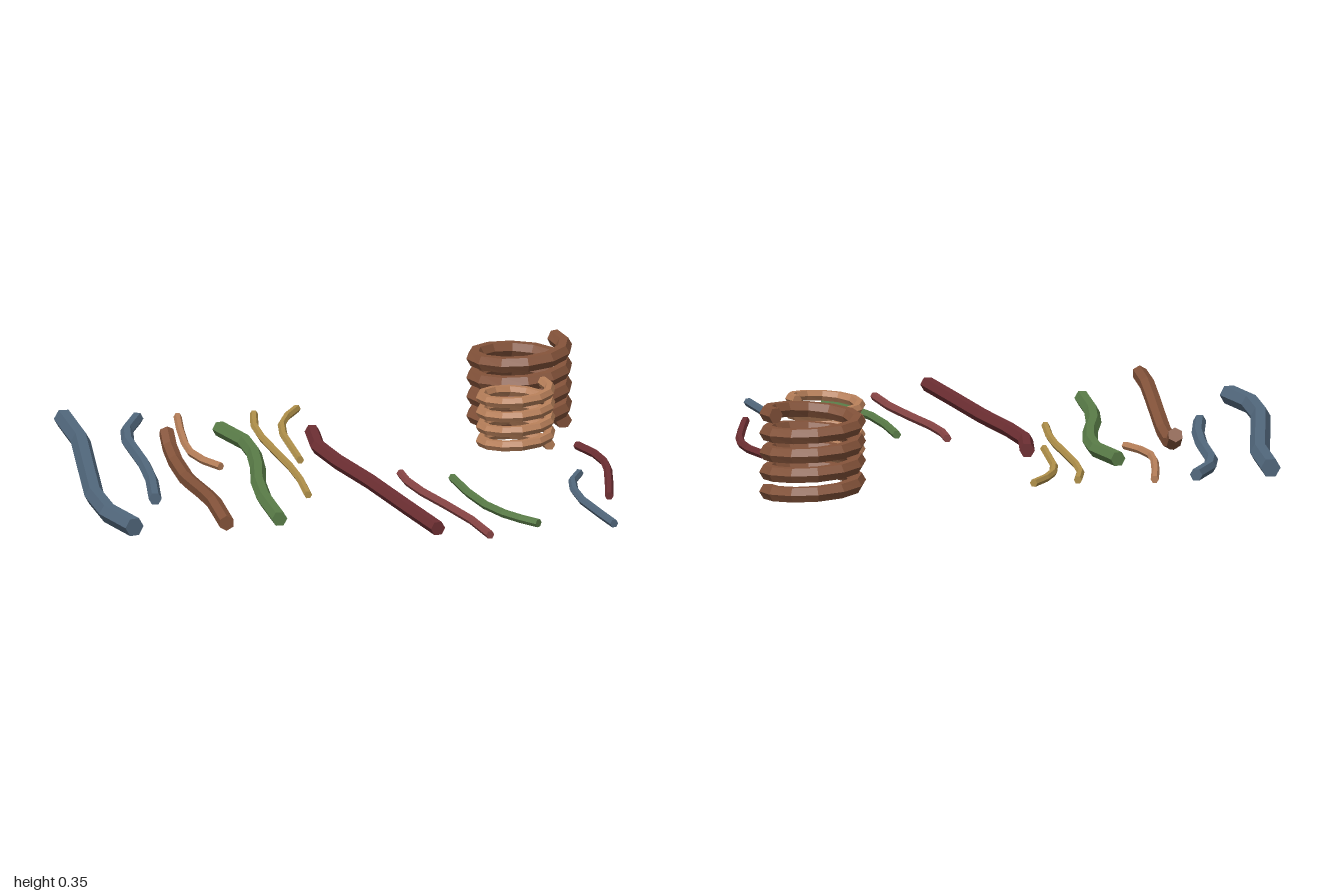
import * as THREE from 'three';

const SIDES = 6;
const BLUE = 0x52687d, BROWN = 0x84533a, TAN = 0xb8805a, YELLOW = 0xb0904a;
const GREEN = 0x5a7d48, DARK_RED = 0x6e2f33, RED = 0x8a4646;

// Sweeps a capped hexagon along points; the first and last points only steer the end cuts.
function sweep(path, radius, twist = 0) {
  const pos = [], index = [], up = new THREE.Vector3(0, 1, 0);
  const rings = path.length - 2;
  for (let i = 1; i <= rings; i++) {
    const before = path[i].clone().sub(path[i - 1]).normalize();
    const after = path[i + 1].clone().sub(path[i]).normalize();
    const t = before.add(after).normalize();
    const side = up.clone().cross(t).normalize();
    const n = t.clone().cross(side);
    for (let k = 0; k < SIDES; k++) {
      const a = (k / SIDES) * Math.PI * 2 + twist;
      const p = path[i].clone().addScaledVector(side, radius * Math.cos(a)).addScaledVector(n, radius * Math.sin(a));
      pos.push(p.x, p.y, p.z);
    }
  }
  for (let i = 0; i < rings - 1; i++) {
    for (let k = 0; k < SIDES; k++) {
      const a = i * SIDES + k, b = i * SIDES + (k + 1) % SIDES;
      index.push(a, b, b + SIDES, a, b + SIDES, a + SIDES);
    }
  }
  const last = (rings - 1) * SIDES;
  for (let k = 1; k < SIDES - 1; k++) {
    index.push(0, k + 1, k, last, last + k, last + k + 1);
  }
  let geo = new THREE.BufferGeometry();
  geo.setAttribute('position', new THREE.Float32BufferAttribute(pos, 3));
  geo.setIndex(index);
  geo = geo.toNonIndexed();
  geo.computeVertexNormals();
  return geo;
}

function addMesh(group, name, geometry, color) {
  const mesh = new THREE.Mesh(geometry, new THREE.MeshStandardMaterial({ color, flatShading: true }));
  mesh.name = name;
  group.add(mesh);
}

// Cable through [x, y, z] points, with straight cuts at both ends
function cable(group, name, color, radius, points, twist) {
  const p = points.map(([x, y, z]) => new THREE.Vector3(x, y, z));
  const beyond = (a, b) => a.clone().multiplyScalar(2).sub(b);
  const path = [beyond(p[0], p[1]), ...p, beyond(p[p.length - 1], p[p.length - 2])];
  addMesh(group, name, sweep(path, radius, twist), color);
}

// Cable lying flat at height y, through [x, z] points
function flatCable(group, name, color, radius, y, points) {
  cable(group, name, color, radius, points.map(([x, z]) => [x, y, z]));
}

// Rising spiral with twelve steps per turn
function coil(group, name, color, [x, z], R, radius, y0, y1) {
  const steps = 49, path = [];
  for (let i = -1; i <= steps + 1; i++) {
    const a = (i / 12) * Math.PI * 2;
    path.push(new THREE.Vector3(x + R * Math.cos(a), y0 + (y1 - y0) * i / steps, z - R * Math.sin(a)));
  }
  addMesh(group, name, sweep(path, radius), color);
}

export function createModel() {
  const g = new THREE.Group();
  g.name = 'cables';

  // Thick cables
  flatCable(g, 'thickBlueCable', BLUE, 0.037, 0.104,
    [[-0.89, -0.83], [-0.883, -0.52], [-0.92, -0.19], [-0.963, 0.2], [-0.953, 0.44], [-0.893, 0.64]]);
  flatCable(g, 'thickGreenCable', GREEN, 0.029, 0.104,
    [[-0.35, -0.595], [-0.29, -0.4], [-0.285, -0.24], [-0.305, -0.05], [-0.338, 0.14], [-0.354, 0.35], [-0.348, 0.63]]);
  flatCable(g, 'thickDarkRedCable', DARK_RED, 0.028, 0.116,
    [[-0.028, -0.455], [-0.044, -0.25], [-0.007, -0.037], [0.062, 0.24], [0.137, 0.615], [0.196, 0.9]]);

  // Brown cable that sags in the middle
  cable(g, 'saggingBrownCable', BROWN, 0.029,
    [[-0.582, 0.155, -0.41], [-0.582, 0.115, -0.34], [-0.582, 0.094, -0.22], [-0.582, 0.094, 0],
      [-0.582, 0.109, 0.13], [-0.582, 0.143, 0.39], [-0.582, 0.162, 0.57], [-0.582, 0.155, 0.825]], Math.PI / 6);

  // Medium and thin cables
  flatCable(g, 'mediumBlueCable', BLUE, 0.024, 0.086,
    [[-0.612, -0.845], [-0.68, -0.685], [-0.702, -0.54], [-0.697, -0.24], [-0.708, -0.016], [-0.74, 0.225]]);
  flatCable(g, 'tanCable', TAN, 0.015, 0.077,
    [[-0.456, -0.87], [-0.478, -0.695], [-0.494, -0.51], [-0.494, -0.39], [-0.467, -0.28], [-0.419, -0.187]]);
  flatCable(g, 'longYellowCable', YELLOW, 0.015, 0.077,
    [[-0.173, -0.855], [-0.2, -0.695], [-0.2, -0.535], [-0.183, -0.32], [-0.167, -0.134], [-0.162, 0.027], [-0.17, 0.24]]);
  flatCable(g, 'shortYellowCable', YELLOW, 0.015, 0.077,
    [[-0.004, -0.898], [-0.06, -0.8], [-0.098, -0.695], [-0.116, -0.56], [-0.116, -0.22]]);
  flatCable(g, 'thinRedCable', RED, 0.016, 0.077,
    [[0.217, 0.02], [0.222, 0.134], [0.25, 0.278], [0.308, 0.476], [0.362, 0.68], [0.394, 0.885]]);
  flatCable(g, 'thinGreenCable', GREEN, 0.016, 0.077,
    [[0.394, 0.112], [0.415, 0.32], [0.448, 0.492], [0.495, 0.615], [0.544, 0.695], [0.597, 0.765]]);
  flatCable(g, 'thinBlueCable', BLUE, 0.016, 0.077,
    [[0.865, 0.134], [0.822, 0.23], [0.806, 0.348], [0.811, 0.497], [0.843, 0.68], [0.87, 0.82]]);
  flatCable(g, 'thinDarkRedCable', DARK_RED, 0.016, 0.077,
    [[0.923, -0.23], [0.966, -0.112], [0.982, 0], [0.977, 0.107], [0.95, 0.278], [0.918, 0.455]]);

  // Coiled cables
  coil(g, 'largeBrownCoil', BROWN, [0.795, -0.715], 0.167, 0.031, 0.032, 0.33);
  coil(g, 'smallTanCoil', TAN, [0.7, -0.27], 0.128, 0.021, 0.072, 0.298);

  return g;
}
